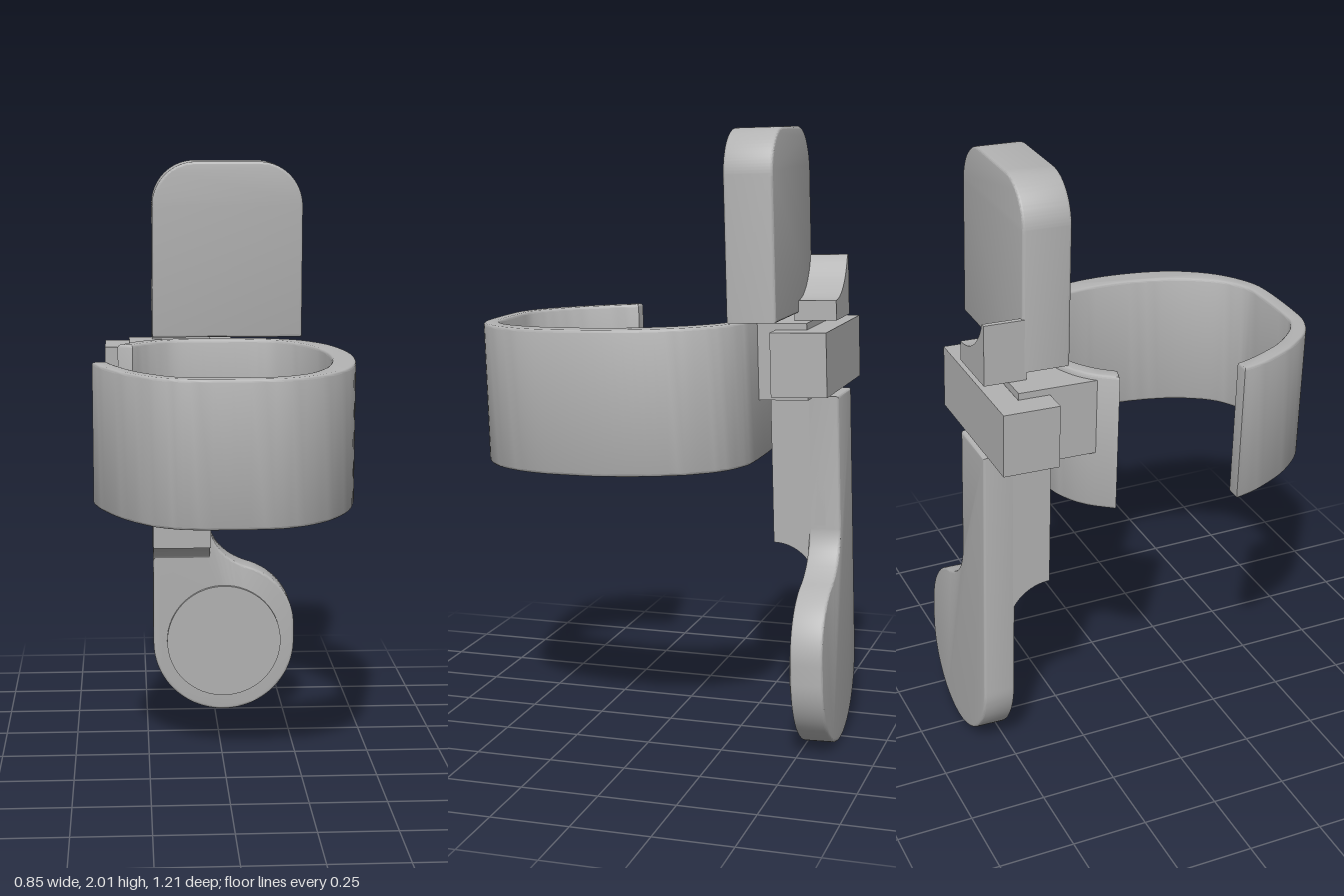
import * as THREE from 'three';
import { toCreasedNormals } from 'three/addons/utils/BufferGeometryUtils.js';

const TILT = 0.033;
const grey = new THREE.MeshStandardMaterial({ color: 0xb3b3b3 });
grey.name = 'plain grey';

const vecs = (pts) => pts.map(([x, y]) => new THREE.Vector2(x, y));

// Extrude an outline, keeping its overall size when the edges are rounded
function extrude(shape, depth, bevel = 0) {
  const g = new THREE.ExtrudeGeometry(shape, {
    depth: depth - 2 * bevel, curveSegments: 24, bevelEnabled: bevel > 0,
    bevelSize: bevel, bevelThickness: bevel, bevelOffset: -bevel, bevelSegments: 3,
  });
  g.translate(0, 0, bevel);
  return toCreasedNormals(g, 0.6);
}

// Outline drawn in plan as (x, -z), raised from y0 to y1
function upright(shape, y0, y1, bevel) {
  return extrude(shape, y1 - y0, bevel).rotateX(-Math.PI / 2).translate(0, y0, 0);
}

export function createModel() {
  const model = new THREE.Group();
  const body = new THREE.Group();
  body.name = 'tiltedBody';
  body.rotation.x = TILT;
  model.add(body);
  const add = (name, geometry) => {
    const mesh = new THREE.Mesh(geometry, grey);
    mesh.name = name;
    body.add(mesh);
    return mesh;
  };

  // Open C-shaped cuff, thicker on its closed side
  const outer = [[-0.425, 0.19], [-0.4, 0.275], [-0.335, 0.4], [-0.25, 0.5], [-0.18, 0.543], [-0.1, 0.56],
    [0.1, 0.56], [0.2, 0.537], [0.3, 0.465], [0.375, 0.35], [0.41, 0.225], [0.422, 0.085], [0.41, -0.045],
    [0.375, -0.17], [0.335, -0.24], [0.28, -0.3], [0.2, -0.338], [0.12, -0.352], [-0.12, -0.352],
    [-0.22, -0.325], [-0.29, -0.275], [-0.345, -0.2]];
  const inner = [[-0.375, 0.19], [-0.35, 0.26], [-0.29, 0.375], [-0.22, 0.455], [-0.165, 0.495], [-0.1, 0.51],
    [0.1, 0.51], [0.17, 0.492], [0.245, 0.435], [0.305, 0.325], [0.335, 0.205], [0.345, 0.085], [0.335, -0.04],
    [0.305, -0.14], [0.26, -0.22], [0.2, -0.28], [0.15, -0.3], [0.1, -0.307], [-0.1, -0.307],
    [-0.18, -0.29], [-0.25, -0.24], [-0.295, -0.185]];
  const smooth = (pts) => new THREE.SplineCurve(vecs(pts.map(([x, z]) => [x, -z]))).getPoints(84);
  const cuff = new THREE.Shape([...smooth(outer), ...smooth(inner).reverse()]);
  add('cuff', upright(cuff, 0.922, 1.385, 0.009));

  // Upper plate with rounded top corners
  const L = -0.225, R = 0.29, top = 1.99, base = 1.392, r = 0.15;
  const plate = new THREE.Shape();
  plate.moveTo(L, base);
  plate.lineTo(R, base);
  plate.lineTo(R, top - r);
  plate.absarc(R - r, top - r, r, 0, Math.PI / 2, false);
  plate.lineTo(L + r, top);
  plate.absarc(L + r, top - r, r, Math.PI / 2, Math.PI, false);
  plate.closePath();
  add('upperPlate', extrude(plate, 0.158, 0.008).translate(0, 0, -0.474));

  // Tab behind the plate, with a hollowed upper edge
  const tab = new THREE.Shape();
  tab.moveTo(L, 1.368);
  tab.lineTo(-0.02, 1.368);
  tab.lineTo(-0.02, 1.433);
  tab.absarc(-0.02, 1.633, 0.2, -Math.PI / 2, -Math.PI + 0.335, true);
  tab.lineTo(L, 1.567);
  tab.closePath();
  add('plateTab', extrude(tab, 0.138).translate(0, 0, -0.598));

  // Mounting block fitted against the back of the cuff
  const block = new THREE.Shape(vecs([[-0.305, 0.255], [-0.22, 0.31], [-0.1, 0.33], [0.055, 0.33],
    [0.055, 0.517], [-0.305, 0.517]]));
  add('mountingBlock', upright(block, 1.117, 1.367));

  // C-shaped clip round the mounting block
  const clip = new THREE.Shape(vecs([[-0.39, 0.415], [-0.307, 0.415], [-0.307, 0.519], [0.057, 0.519],
    [0.057, 0.415], [0.14, 0.415], [0.14, 0.598], [-0.39, 0.598]]));
  add('clip', upright(clip, 1.139, 1.346));

  // Lower lever: thin round-ended paddle
  const cx = 0.0325, cy = 0.24, rad = 0.2575;
  const paddle = new THREE.Shape();
  paddle.moveTo(L, 1.12);
  paddle.lineTo(L, cy);
  paddle.absarc(cx, cy, rad, Math.PI, Math.PI * 2, false);
  paddle.lineTo(R, 0.3);
  paddle.bezierCurveTo(R, 0.41, 0.22, 0.495, 0.12, 0.525);
  paddle.bezierCurveTo(0.04, 0.55, -0.02, 0.61, -0.02, 0.69);
  paddle.lineTo(-0.02, 1.12);
  paddle.closePath();
  add('leverPaddle', extrude(paddle, 0.106, 0.008).translate(0, 0, -0.6));

  // Thick stem of the lever, hollowed where it meets the paddle
  const stem = new THREE.Shape();
  stem.moveTo(0.55, 1.12);
  stem.lineTo(0.374, 1.12);
  stem.lineTo(0.374, 0.628);
  stem.absarc(0.374, 0.4865, 0.1415, Math.PI / 2, 0.477, true);
  stem.lineTo(0.55, 0.5515);
  stem.closePath();
  add('leverStem', extrude(stem, 0.205).rotateY(Math.PI / 2).translate(L, 0, 0));

  // Round pad on the paddle
  const pad = add('roundPad', new THREE.CylinderGeometry(0.208, 0.208, 0.03, 64).rotateX(Math.PI / 2));
  pad.position.set(cx, 0.248, -0.496);

  return model;
}
